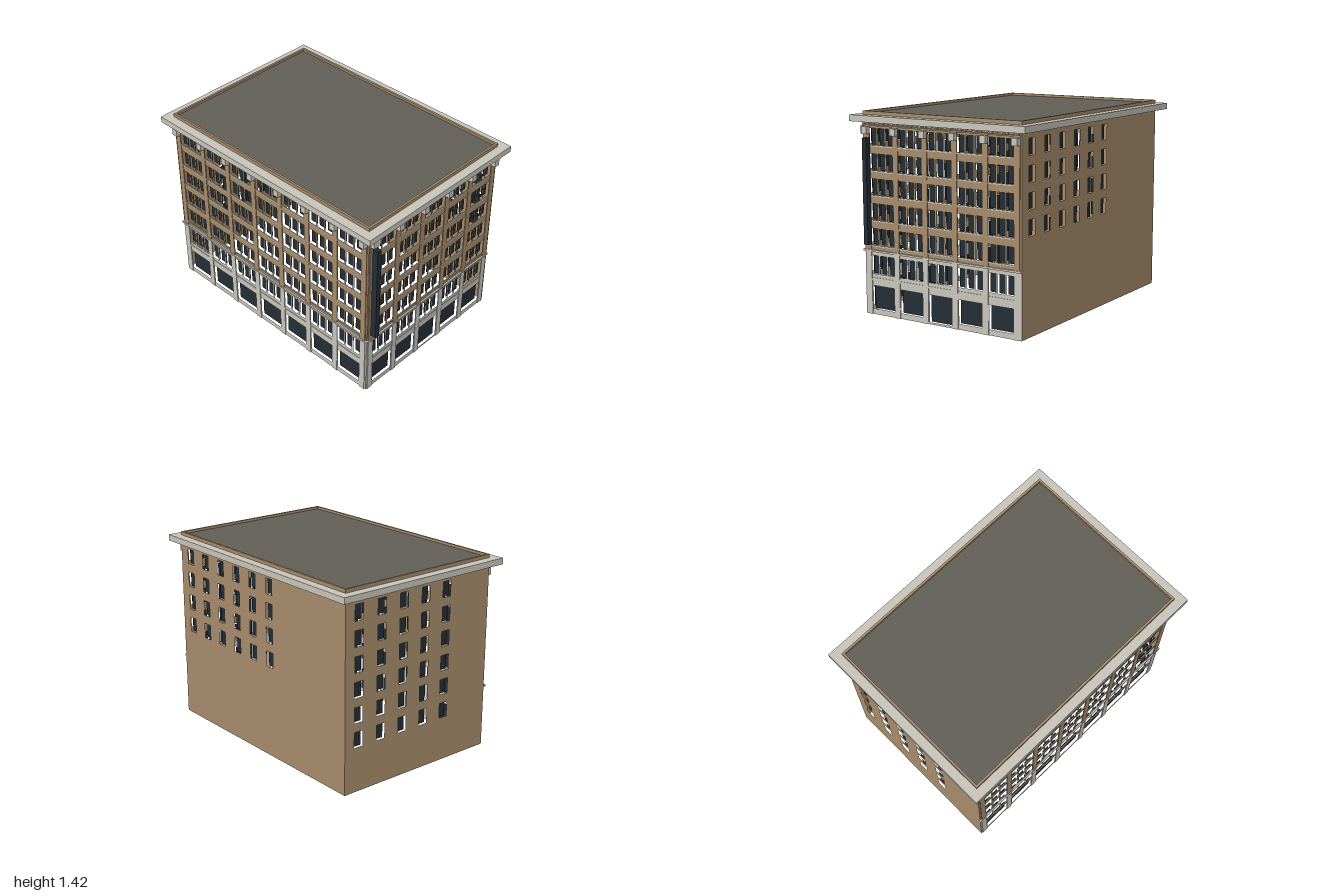
import * as THREE from 'three';
import { mergeGeometries } from 'three/addons/utils/BufferGeometryUtils.js';

const flat = (name, color, side = THREE.DoubleSide) => {
  const m = new THREE.MeshStandardMaterial({ color, side });
  m.name = name;
  return m;
};

export function createModel() {
  const brick = flat('tan brick', 0xa88c6c);
  const stone = flat('pale stone', 0xc8c5bb);
  const glass = flat('dark glass', 0x232d36);
  const roofing = flat('grey roofing', 0x625f59);

  const W = 1.29, D = 1.87, EAVE = 1.35, BASE = 0.455, RECESS = 0.02;
  const model = new THREE.Group();
  model.name = 'building';

  // box given by its limits
  const boxGeo = (x0, x1, y0, y1, z0, z1) =>
    new THREE.BoxGeometry(x1 - x0, y1 - y0, z1 - z0)
      .translate((x0 + x1) / 2, (y0 + y1) / 2, (z0 + z1) / 2);

  const add = (parent, name, geos, mat) => {
    const mesh = new THREE.Mesh(Array.isArray(geos) ? mergeGeometries(geos) : geos, mat);
    mesh.name = name;
    parent.add(mesh);
  };

  // sheet wall with openings [x0, x1, y0, y1] and a set-back pane behind each
  const wall = (parent, name, mat, w, y0, y1, openings) => {
    const outline = (a, b, c, d) => [[a, c], [b, c], [b, d], [a, d]].map(p => new THREE.Vector2(...p));
    const shape = new THREE.Shape(outline(-w / 2, w / 2, y0, y1));
    shape.holes = openings.map(o => new THREE.Path(outline(...o).reverse()));
    add(parent, name, new THREE.ShapeGeometry(shape), mat);
    add(parent, name + 'Panes', openings.map(([a, b, c, d]) =>
      new THREE.PlaneGeometry(b - a, d - c).translate((a + b) / 2, (c + d) / 2, -RECESS)), glass);
  };

  const side = (name, x, z, turn) => {
    const g = new THREE.Group();
    g.name = name;
    g.position.set(x, 0, z);
    g.rotation.y = turn;
    model.add(g);
    return g;
  };

  // ornamented street facade
  const facade = (g, w, bays, doorBay) => {
    const span = w - 0.07, step = span / bays, pw = 0.0225;
    const centre = i => -span / 2 + step * (i + 0.5);
    const lower = [], upper = [], sills = [], mouldings = [], spandrels = [];
    const floors = [0.495, 0.67, 0.845, 1.015, 1.19];
    for (let i = 0; i < bays; i++) {
      const c = centre(i), half = step / 2 - pw;
      // shop front
      lower.push([c - half + 0.007, c + half - 0.007, i === doorBay ? 0.015 : 0.04, 0.205]);
      // three windows to a bay on every floor above
      const pitch = step * 0.287, hw = step * 0.113;
      for (let k = -1; k <= 1; k++) {
        const a = c + k * pitch - hw, b = c + k * pitch + hw;
        lower.push([a, b, 0.29, 0.42]);
        floors.forEach(y => upper.push([a, b, y, y + 0.115]));
      }
      floors.forEach((y, f) => {
        sills.push(boxGeo(c - half, c + half, y - 0.01, y - 0.002, 0, 0.006));
        if (f) spandrels.push(boxGeo(c - half, c + half, y - 0.058, y - 0.01, 0, 0.002));
      });
      mouldings.push(boxGeo(c - half - 0.006, c + half + 0.006, 0.252, 0.264, 0, 0.004));
    }
    wall(g, 'baseWall', stone, w, 0, BASE, lower);
    wall(g, 'upperWall', brick, w, BASE, EAVE, upper);
    add(g, 'windowSills', sills, stone);
    add(g, 'spandrels', spandrels, brick);
    add(g, 'baseMouldings', mouldings, stone);

    // piers, their base pilasters and block capitals
    const piers = [], pilasters = [], capitals = [];
    for (let i = 0; i <= bays; i++) {
      const x = -span / 2 + step * i;
      piers.push(boxGeo(x - pw, x + pw, BASE, 1.32, 0, 0.006));
      pilasters.push(boxGeo(x - pw, x + pw, 0, BASE, 0, 0.005));
      capitals.push(boxGeo(x - pw, x + pw, 1.265, 1.315, 0, 0.035));
    }
    add(g, 'piers', piers, brick);
    add(g, 'basePilasters', pilasters, stone);
    add(g, 'capitals', capitals, stone);

    // belt course, frieze and dentils
    add(g, 'beltCourse', boxGeo(-w / 2 - 0.01, w / 2, 0.447, 0.46, 0, 0.012), stone);
    add(g, 'frieze', boxGeo(-w / 2, w / 2, 1.32, 1.33, 0, 0.008), brick);
    const dentils = [], n = Math.round(w / 0.04);
    for (let i = 0; i < n; i++) {
      const x = -w / 2 + w * (i + 0.5) / n;
      dentils.push(boxGeo(x - 0.008, x + 0.008, 1.335, EAVE, 0, 0.02));
    }
    add(g, 'dentils', dentils, stone);
  };

  facade(side('frontFacade', 0, D / 2, 0), W, 5, 2);
  facade(side('rightFacade', -W / 2, 0, -Math.PI / 2), D, 7, -1);

  // plain brick walls with a grid of punched windows
  const grid = (first, step, cols, rows) => {
    const list = [];
    for (let c = 0; c < cols; c++) for (let r = 0; r < rows; r++) {
      const x = first + step * c, y = 1.25 - 0.175 * r;
      list.push([x - 0.035, x + 0.035, y - 0.055, y + 0.055]);
    }
    return list;
  };
  wall(side('leftSide', W / 2, 0, Math.PI / 2), 'leftWall', brick, D, 0, EAVE, grid(-0.815, 0.19, 6, 4));
  wall(side('backSide', 0, -D / 2, Math.PI), 'backWall', brick, W, 0, EAVE, grid(-0.53, 0.193, 5, 6));

  // cornice slab, parapet and roof
  add(model, 'cornice', boxGeo(-0.71, 0.71, EAVE, 1.395, -1, 1), stone);
  const t = 0.016, x = W / 2, z = D / 2;
  add(model, 'parapet', [
    boxGeo(-x, x, 1.39, 1.42, z - t, z), boxGeo(-x, x, 1.39, 1.42, -z, -z + t),
    boxGeo(-x, -x + t, 1.39, 1.42, -z + t, z - t), boxGeo(x - t, x, 1.39, 1.42, -z + t, z - t),
  ], brick);
  add(model, 'roof', boxGeo(-x + t, x - t, 1.39, 1.402, -z + t, z - t), roofing);

  // tall blade sign at the street corner
  add(model, 'bladeSign', boxGeo(-0.615, -0.58, 0.5, 1.24, 0.942, 0.985), glass);

  return model;
}
